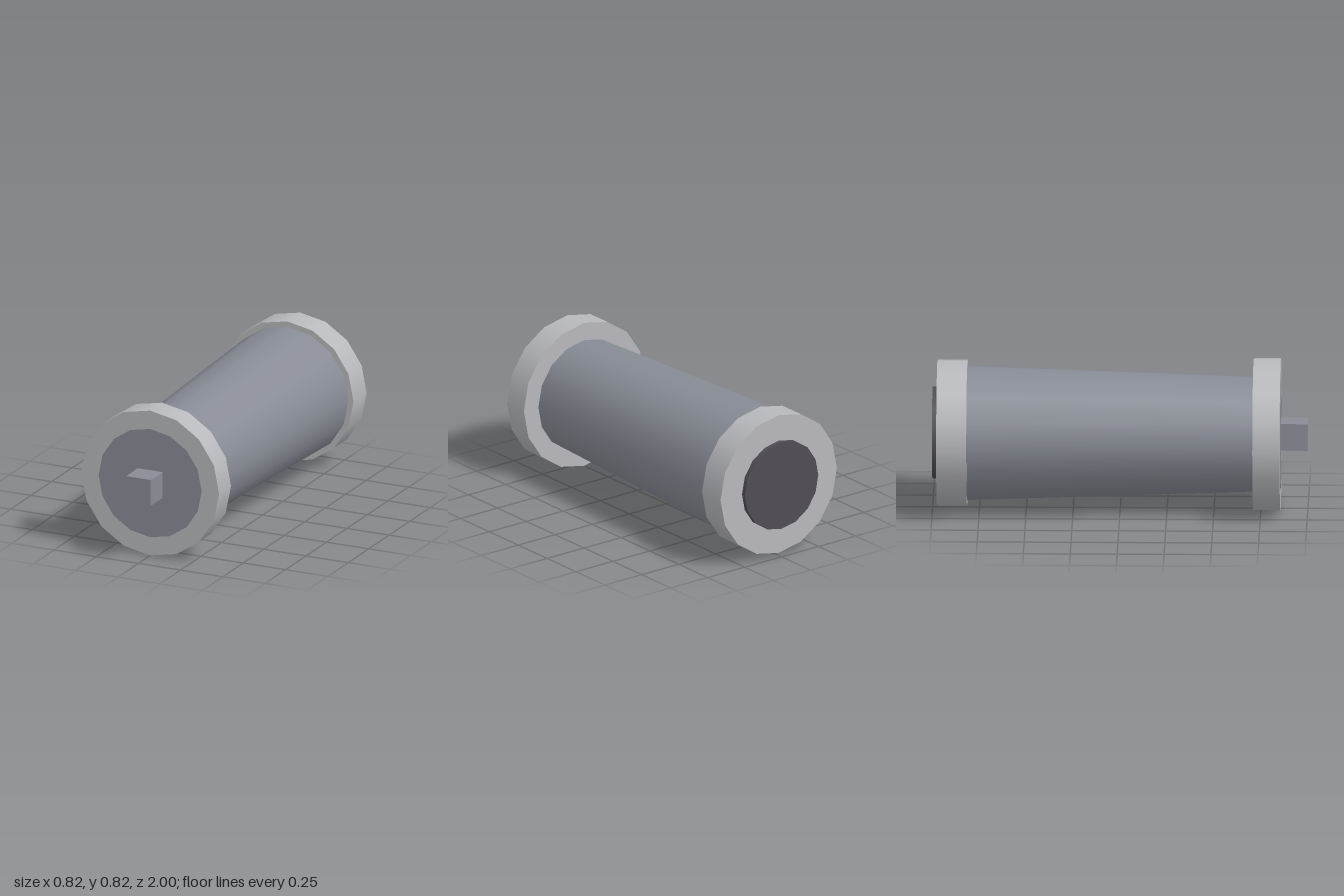
import * as THREE from 'three';

const SIDES = 16;
const AXIS_Y = 0.408;

export function createModel() {
  const group = new THREE.Group();
  const lightGrey = new THREE.MeshStandardMaterial({ color: 0xb8b9bd });
  lightGrey.name = 'light grey';
  const steelGrey = new THREE.MeshStandardMaterial({ color: 0x888c95 });
  steelGrey.name = 'steel grey';
  const darkGrey = new THREE.MeshStandardMaterial({ color: 0x504e54 });
  darkGrey.name = 'dark grey';

  function add(name, geometry, material, z) {
    const mesh = new THREE.Mesh(geometry, material);
    mesh.name = name;
    mesh.position.set(0, AXIS_Y, z);
    group.add(mesh);
  }

  // Round part lying along z, from its back end to its front end
  function drum(name, material, zBack, zFront, rBack, rFront = rBack) {
    const geometry = new THREE.CylinderGeometry(rFront, rBack, zFront - zBack, SIDES);
    geometry.rotateX(Math.PI / 2);
    add(name, geometry, material, (zBack + zFront) / 2);
  }

  // Tapered barrel, its narrow end just showing through the front collar
  drum('barrel', steelGrey, -0.9, 0.856, 0.365, 0.305);

  // Collars at both ends
  drum('frontCollar', lightGrey, 0.71, 0.855, 0.408);
  drum('rearCollar', lightGrey, -0.975, -0.815, 0.393);

  // Dark disc at the back
  drum('rearDisc', darkGrey, -1, -0.96, 0.248);

  // Square peg at the front
  add('peg', new THREE.BoxGeometry(0.146, 0.146, 0.16), steelGrey, 0.92);

  return group;
}
